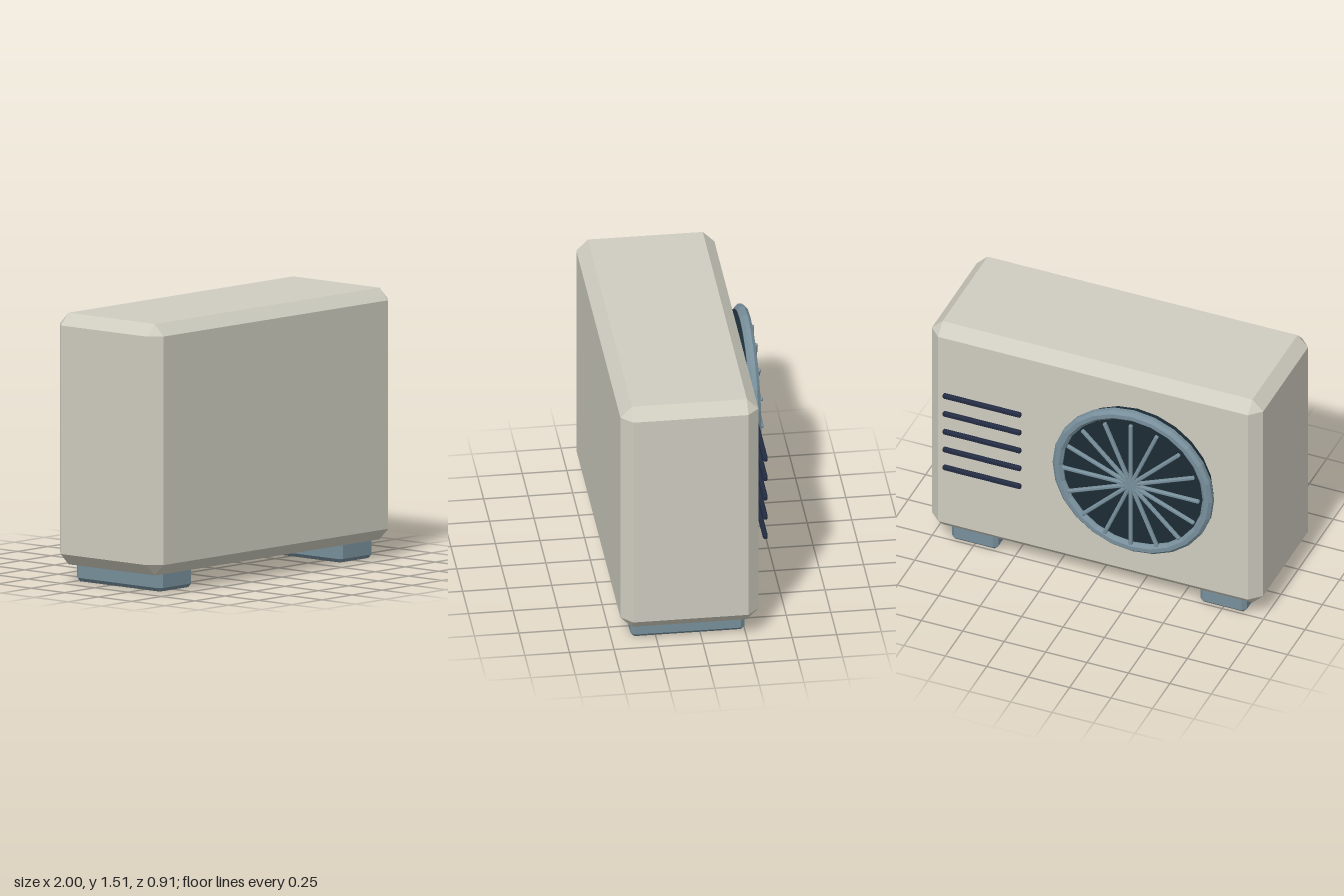
import * as THREE from 'three';
import { ConvexGeometry } from 'three/addons/geometries/ConvexGeometry.js';

const material = (color) => new THREE.MeshStandardMaterial({ color, flatShading: true });
const casing = material(0xcfcdc0);
const steel = material(0x78909c);
const dark = material(0x1c2b35);
const navy = material(0x232c42);

// Box with every edge cut at 45 degrees: three corner points per corner
function chamferBox(w, h, d, c) {
  const points = [];
  for (const x of [-1, 1]) for (const y of [-1, 1]) for (const z of [-1, 1]) {
    for (let axis = 0; axis < 3; axis++) {
      const inset = [c, c, c];
      inset[axis] = 0;
      points.push(new THREE.Vector3(
        x * (w / 2 - inset[0]), y * (h / 2 - inset[1]), z * (d / 2 - inset[2])));
    }
  }
  return new ConvexGeometry(points);
}

function add(parent, name, geometry, mat, x = 0, y = 0, z = 0) {
  const mesh = new THREE.Mesh(geometry, mat);
  mesh.name = name;
  mesh.position.set(x, y, z);
  parent.add(mesh);
  return mesh;
}

export function createModel() {
  const model = new THREE.Group();
  model.name = 'outdoorUnit';

  // Casing
  add(model, 'casing', chamferBox(2, 1.415, 0.775, 0.065), casing, 0, 0.8075, 0.068);

  // Feet, running front to back
  for (const side of [-1, 1]) {
    add(model, side > 0 ? 'leftFoot' : 'rightFoot',
      chamferBox(0.28, 0.14, 0.64, 0.022), steel, side * 0.75, 0.07, 0.07);
  }

  // Fan on the back: dark disc, ring and radial guard
  const fan = new THREE.Group();
  fan.name = 'fan';
  fan.position.set(-0.28, 0.863, 0);
  model.add(fan);

  const disc = add(fan, 'fanDisc', new THREE.CylinderGeometry(0.455, 0.455, 0.07, 24), dark, 0, 0, -0.374);
  disc.rotation.x = Math.PI / 2;

  // Octagonal ring section, flats facing out
  const section = [];
  for (let i = 0; i <= 8; i++) {
    const a = (i + 0.5) * Math.PI / 4;
    section.push(new THREE.Vector2(0.4525 + 0.0325 * Math.cos(a), 0.0325 * Math.sin(a)));
  }
  const ring = add(fan, 'fanRing', new THREE.LatheGeometry(section, 24), steel, 0, 0, -0.406);
  ring.rotation.x = Math.PI / 2;

  // Eight bars across the centre make sixteen spokes
  const bar = chamferBox(0.83, 0.022, 0.022, 0.005);
  for (let i = 0; i < 8; i++) {
    add(fan, 'guardBar', bar, steel, 0, 0, -0.444).rotation.z = i * Math.PI / 8;
  }

  // Vent slats beside the fan
  const slat = chamferBox(0.47, 0.032, 0.026, 0.007);
  for (let i = 0; i < 5; i++) {
    add(model, 'ventSlat', slat, navy, 0.65, 0.59 + i * 0.1245, -0.366);
  }

  return model;
}
